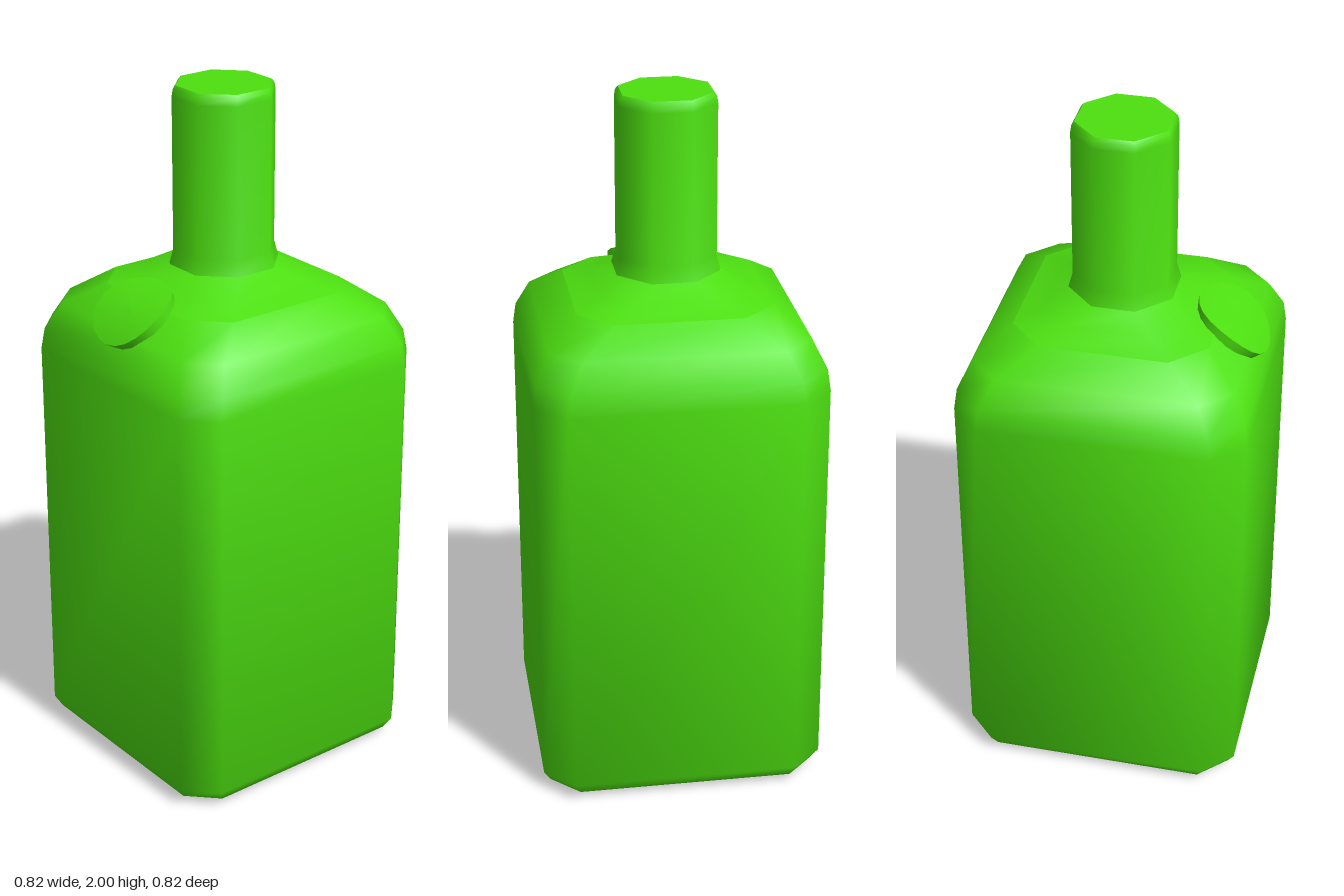
import * as THREE from 'three';
import { mergeGeometries } from 'three/addons/utils/BufferGeometryUtils.js';

// Skin closed rings of points from bottom to top, with evenly averaged smooth normals
function loft(rings) {
  const n = rings[0].length;
  const pts = rings.flat();
  const normals = pts.map(() => new THREE.Vector3());
  const index = [];
  for (let r = 0; r < rings.length - 1; r++) {
    for (let i = 0; i < n; i++) {
      const j = (i + 1) % n;
      const a = r * n + i, b = r * n + j, c = b + n, d = a + n;
      const face = pts[d].clone().sub(pts[b]).cross(pts[c].clone().sub(pts[a])).normalize();
      for (const k of [a, b, c, d]) normals[k].add(face);
      index.push(a, d, b, b, d, c);
    }
  }
  const geo = new THREE.BufferGeometry();
  geo.setAttribute('position', new THREE.Float32BufferAttribute(pts.flatMap(p => p.toArray()), 3));
  geo.setAttribute('normal', new THREE.Float32BufferAttribute(normals.flatMap(v => v.normalize().toArray()), 3));
  geo.setIndex(index);
  return geo;
}

// Square of half width h with chamfered corners starting at c
const octagon = ([y, h, c]) =>
  [[h, -c], [h, c], [c, h], [-c, h], [-h, c], [-h, -c], [-c, -h], [c, -h]]
    .map(([x, z]) => new THREE.Vector3(x, y, z));
const octLoft = sections => loft(sections.map(octagon));

// Thin disc ring wrapped over the curve of the shoulder
const SEAL_R = 0.3;
const sealRing = ([radius, depth]) => Array.from({ length: 20 }, (_, i) => {
  const t = (i / 20) * Math.PI * 2;
  const a = 0.61 + radius * Math.sin(t) / SEAL_R;
  const R = SEAL_R - depth;
  return new THREE.Vector3(radius * Math.cos(t), 1.18 + R * Math.cos(a), 0.154 + R * Math.sin(a));
});
const sealLoft = sections => loft(sections.map(sealRing));

export function createModel() {
  const group = new THREE.Group();
  const green = new THREE.MeshStandardMaterial({ color: 0x4de010 });
  green.name = 'bottleGreen';
  const add = (name, ...geos) => {
    const mesh = new THREE.Mesh(mergeGeometries(geos), green);
    mesh.name = name;
    group.add(mesh);
  };

  // Square body with rounded foot and flat base
  add('body',
    octLoft([[0, 0, 0], [0, 0.36, 0.29]]),
    octLoft([
      [0, 0.36, 0.29], [0.02, 0.39, 0.31], [0.055, 0.41, 0.325],
      [1.22, 0.41, 0.325], [1.28, 0.402, 0.317], [1.36, 0.363, 0.28], [1.428, 0.275, 0.18],
    ]));

  // Sloping shoulder up to the neck
  add('shoulder', octLoft([[1.428, 0.275, 0.18], [1.457, 0.205, 0.12], [1.492, 0.147, 0.061]]));

  // Neck with flared root and bevelled flat top
  add('neck',
    octLoft([
      [1.49, 0.147, 0.061], [1.535, 0.135, 0.057],
      [1.97, 0.135, 0.057], [1.99, 0.132, 0.056], [2, 0.125, 0.053],
    ]),
    octLoft([[2, 0.125, 0.053], [2, 0, 0]]));

  // Round seal bent over the front shoulder
  add('seal',
    sealLoft([[0, 0.035], [0.06, 0.035], [0.125, 0.035]]),
    sealLoft([[0.125, 0.035], [0.125, 0]]),
    sealLoft([[0.125, 0], [0.1, 0], [0.07, 0], [0.035, 0], [0, 0]]));

  return group;
}
